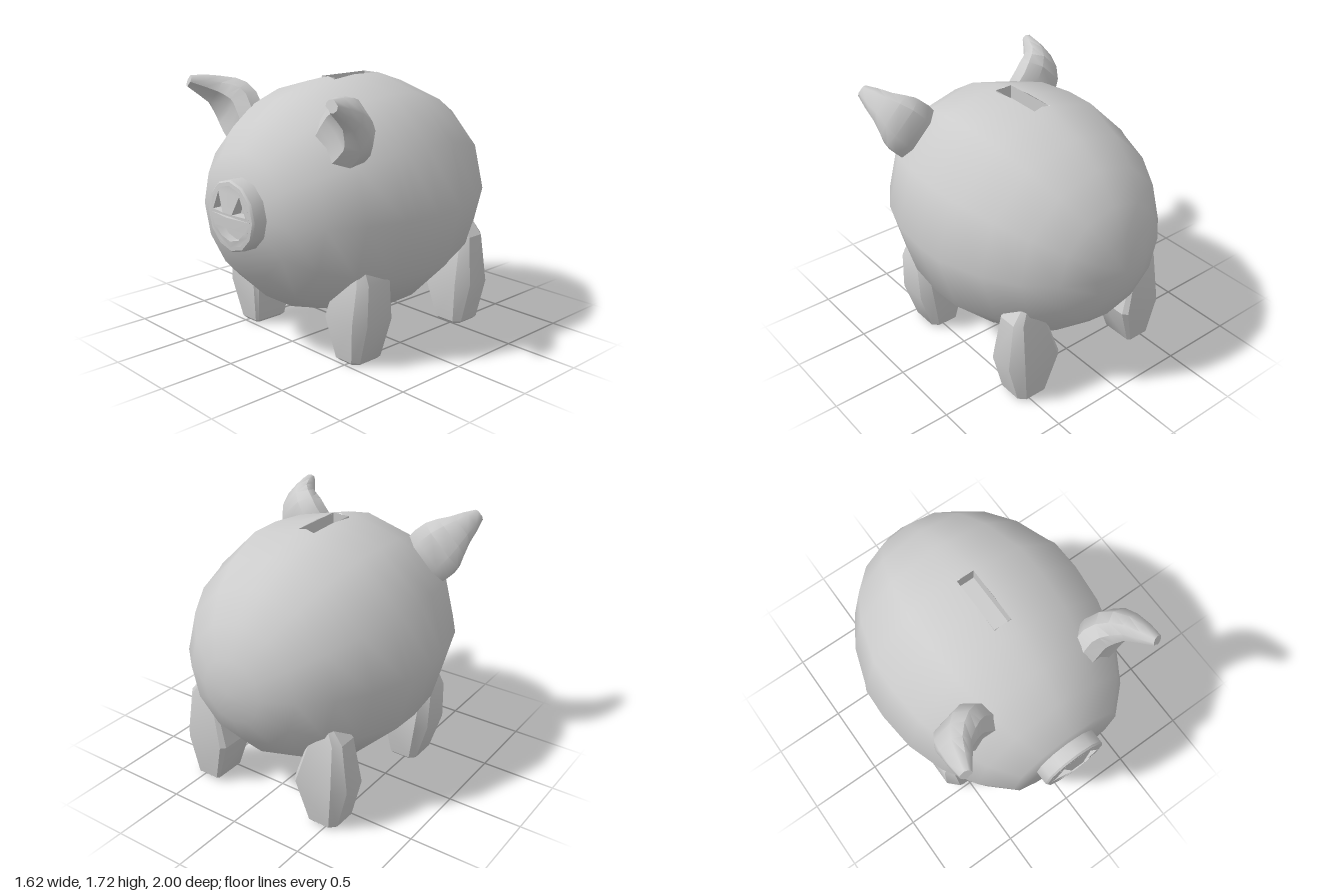
import * as THREE from 'three';
import { toCreasedNormals } from 'three/addons/utils/BufferGeometryUtils.js';

const grey = new THREE.MeshStandardMaterial({ color: 0xcccccc });
const greyDouble = new THREE.MeshStandardMaterial({ color: 0xcccccc, side: THREE.DoubleSide });

function addMesh(parent, name, geometry, material = grey) {
  const mesh = new THREE.Mesh(geometry, material);
  mesh.name = name;
  parent.add(mesh);
  return mesh;
}

// Adds a part on the model's left (+x) and its mirror image on the right
function addPair(parent, name, geometry) {
  addMesh(parent, name + 'Left', geometry);
  addMesh(parent, name + 'Right', geometry).scale.x = -1;
}

// Skin over closed loops of Vector3, counter-clockwise seen from the far end, with both ends capped
function loft(loops, crease) {
  const n = loops[0].length, last = (loops.length - 1) * n;
  const pos = loops.flat().flatMap(p => p.toArray());
  const index = [];
  for (let j = 0; j < loops.length - 1; j++) {
    for (let i = 0; i < n; i++) {
      const a = j * n + i, b = j * n + (i + 1) % n;
      index.push(a, b, b + n, a, b + n, a + n);
    }
  }
  for (let i = 1; i < n - 1; i++) index.push(0, i + 1, i, last, last + i, last + i + 1);
  const g = new THREE.BufferGeometry();
  g.setAttribute('position', new THREE.Float32BufferAttribute(pos, 3));
  g.setIndex(index);
  return toCreasedNormals(g, crease);
}

// Twelve-sided egg lying along z, flattened at the front, with a slot opening on top
const CY = 0.935, RX = 0.81, RY = 0.795;
const SLOT = { x: 0.06, back: -0.21, front: 0.17 };
function bodyGeometry() {
  const columns = [];
  const corner = i => new THREE.Vector2(Math.cos(i * Math.PI / 6), Math.sin(i * Math.PI / 6));
  for (let i = 0; i < 12; i++) {
    if (i === 3) columns.push(corner(3).lerp(corner(2), 0.148));
    columns.push(corner(i));
    if (i === 3) columns.push(corner(3).lerp(corner(4), 0.148));
  }
  const rings = [];
  for (let k = 0; k <= 10; k++) {
    const t = k * Math.PI / 12;
    rings.push([-Math.cos(t), Math.sin(t)]);
  }
  rings.push([SLOT.back, 0.993], [SLOT.front, 0.978]);
  rings.sort((a, b) => a[0] - b[0]);
  rings.push([0.866, 0]);

  const pos = [], nor = [], index = [], n = columns.length;
  for (const [z, r] of rings) {
    for (const c of columns) {
      pos.push(RX * r * c.x, CY + RY * r * c.y, z);
      nor.push(...new THREE.Vector3(r * c.x / RX, r * c.y / RY, z).normalize().toArray());
    }
  }
  for (let j = 0; j < rings.length - 1; j++) {
    const inSlot = rings[j][0] >= SLOT.back && rings[j + 1][0] <= SLOT.front;
    for (let i = 0; i < n; i++) {
      if (inSlot && (i === 3 || i === 4)) continue;
      const a = j * n + i, b = j * n + (i + 1) % n;
      index.push(a, b, b + n, a, b + n, a + n);
    }
  }
  const g = new THREE.BufferGeometry();
  g.setAttribute('position', new THREE.Float32BufferAttribute(pos, 3));
  g.setAttribute('normal', new THREE.Float32BufferAttribute(nor, 3));
  g.setIndex(index);
  return g;
}

// Open-topped pit under the slot
function slotGeometry() {
  const depth = 0.1;
  const g = new THREE.BoxGeometry(SLOT.x * 2, depth, SLOT.front - SLOT.back);
  const faces = Array.from(g.index.array);
  faces.splice(12, 6);
  g.setIndex(faces);
  g.clearGroups();
  return g.translate(0, 1.708 - depth / 2, (SLOT.front + SLOT.back) / 2);
}

// Leg from levels of [y, inner x, outer x, back z, front z] with chamfered outer corners
function legGeometry(levels) {
  const loops = levels.map(([y, x0, x1, z0, z1]) => {
    const c = (x1 - x0) * 0.2, e = (x1 - x0) * 0.08;
    return [
      [x1 - c, z1], [x1, z1 - c], [x1, z0 + c], [x1 - c, z0],
      [x0 + e, z0], [x0, z0 + e], [x0, z1 - e], [x0 + e, z1],
    ].map(([x, z]) => new THREE.Vector3(x, y, z));
  });
  return loft(loops, 0.5);
}

// Ear that rises out of the head and bends forward to a blunt tip
function earGeometry() {
  const path = new THREE.CatmullRomCurve3([
    [0.40, 1.33, 0.50], [0.54, 1.49, 0.49], [0.62, 1.59, 0.57], [0.68, 1.67, 0.76],
  ].map(p => new THREE.Vector3(...p)));
  const sizes = [[0.16, 0.10], [0.18, 0.11], [0.185, 0.11], [0.175, 0.105], [0.145, 0.095],
    [0.105, 0.075], [0.075, 0.055], [0.04, 0.03]];
  const outline = [[-1, -0.4], [-0.6, -1], [0, -0.85], [0.6, -1], [1, -0.4],
    [1, 0.4], [0.55, 1], [-0.55, 1], [-1, 0.4]];
  const wide = new THREE.Vector3(0.72, -0.69, 0).normalize();
  const loops = sizes.map(([w, t], k) => {
    const u = k / (sizes.length - 1);
    const thick = path.getTangent(u).cross(wide).normalize();
    // the hollow side faces forward
    return outline.map(([a, b]) => path.getPoint(u)
      .addScaledVector(wide, a * w).addScaledVector(thick, b * t));
  });
  return loft(loops, 0.8);
}

// Snout: faceted rim, slightly pointed face with cut-outs, and a floor behind them
function createSnout() {
  const snout = new THREE.Group();
  snout.name = 'snout';
  const rimProfile = [[0.225, -0.03], [0.225, 0.095], [0.215, 0.107], [0.19, 0.11], [0.19, 0.04]]
    .map(p => new THREE.Vector2(...p));
  const rim = new THREE.LatheGeometry(rimProfile, 12).rotateX(Math.PI / 2);
  addMesh(snout, 'snoutRim', toCreasedNormals(rim, 0.6), greyDouble);

  const path = (points, T = THREE.Path) => new T(points.map(p => new THREE.Vector2(...p)));
  const half = (from, to) => {
    const points = [[0, 0]];
    for (let i = from; i <= to; i++) {
      const a = i * Math.PI / 6;
      points.push([0.192 * Math.cos(a), 0.192 * Math.sin(a)]);
    }
    return path(points, THREE.Shape);
  };
  const upper = half(0, 6), lower = half(6, 12);
  for (const s of [-1, 1]) {
    upper.holes.push(path([[s * 0.045, 0.022], [s * 0.16, 0.022], [s * 0.103, 0.142]]));
  }
  lower.holes.push(path([[-0.143, -0.075], [0.143, -0.075], [0.085, -0.13], [0, -0.153], [-0.085, -0.13]]));

  const face = new THREE.ExtrudeGeometry([upper, lower], { depth: 0.07, bevelEnabled: false });
  const p = face.attributes.position;
  for (let i = 0; i < p.count; i++) {
    const front = p.getZ(i) > 0.01;
    const lift = 0.025 * (1 - Math.hypot(p.getX(i), p.getY(i)) / 0.192);
    p.setZ(i, 0.04 + p.getZ(i) + (front ? lift : 0));
  }
  face.clearGroups();
  addMesh(snout, 'snoutFace', toCreasedNormals(face, 0.5));
  addMesh(snout, 'snoutFloor', new THREE.CircleGeometry(0.2, 12).translate(0, 0, 0.06));
  snout.position.set(0, 0.945, 0.86);
  return snout;
}

export function createModel() {
  const model = new THREE.Group();
  model.name = 'piggyBank';
  addMesh(model, 'body', bodyGeometry());
  addMesh(model, 'coinSlot', slotGeometry(), greyDouble);
  model.add(createSnout());
  addPair(model, 'ear', earGeometry());
  addPair(model, 'frontLeg', legGeometry([
    [0, 0.41, 0.565, 0.25, 0.465], [0.02, 0.39, 0.585, 0.23, 0.485], [0.29, 0.335, 0.665, 0.19, 0.53],
    [0.55, 0.41, 0.665, 0.225, 0.505], [0.68, 0.46, 0.6, 0.28, 0.47],
  ]));
  addPair(model, 'backLeg', legGeometry([
    [0, 0.39, 0.555, -0.705, -0.505], [0.02, 0.37, 0.575, -0.725, -0.485], [0.3, 0.28, 0.645, -0.76, -0.45],
    [0.62, 0.38, 0.6, -0.72, -0.51], [0.74, 0.42, 0.5, -0.68, -0.56],
  ]));
  return model;
}
